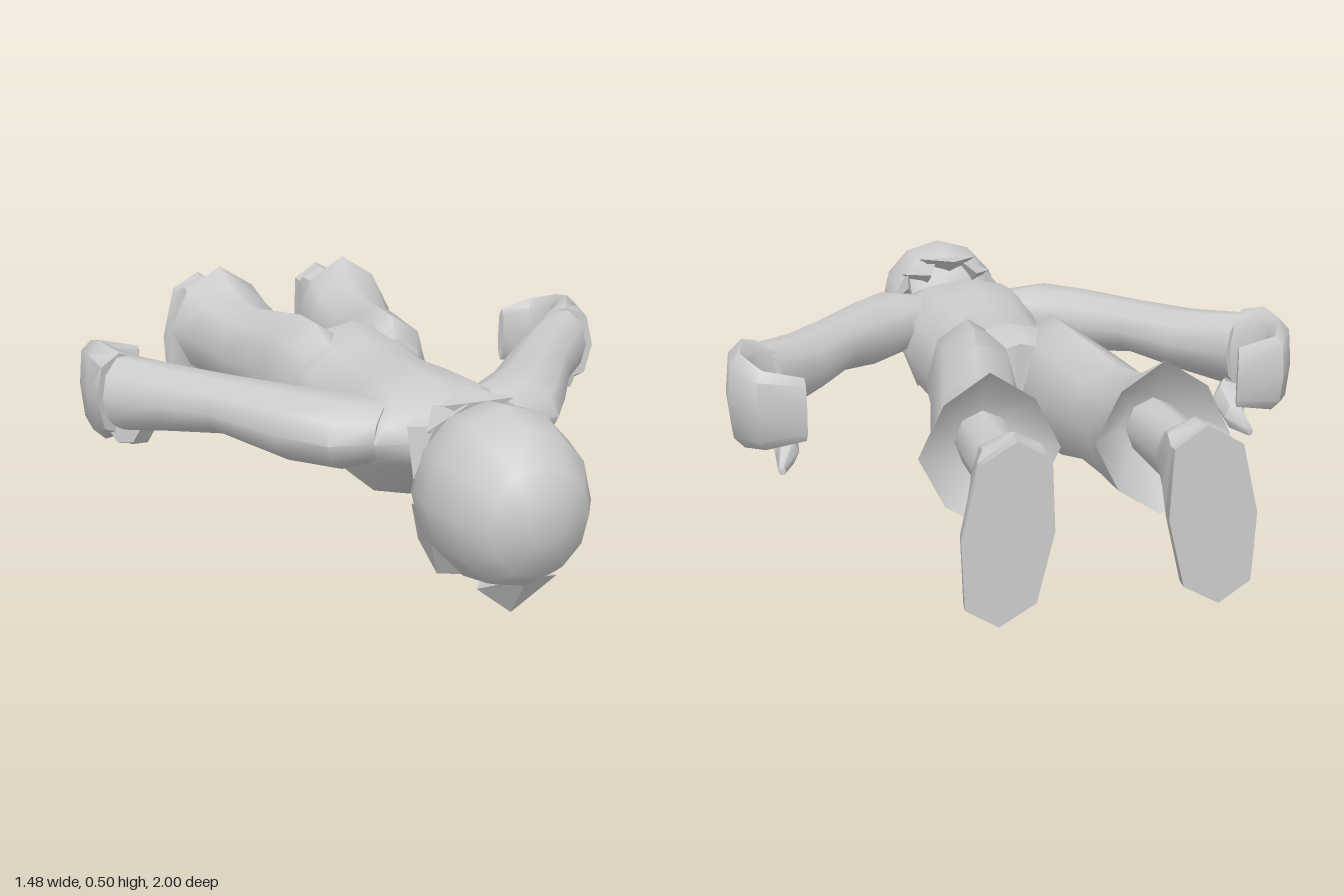
import * as THREE from 'three';
import { toCreasedNormals } from 'three/addons/utils/BufferGeometryUtils.js';
import { ConvexGeometry } from 'three/addons/geometries/ConvexGeometry.js';

const material = new THREE.MeshStandardMaterial({ color: 0xcccccc });
const flat = new THREE.MeshStandardMaterial({ color: 0xcccccc, flatShading: true });

// Skins a closed tube over rings [x, y, z, halfWidth, halfHeight, yaw in degrees, corner power, shear].
// At yaw 0 the rings run towards -z; side -1 mirrors the part.
function loft(name, rings, sides = 10, side = 1, crease = 1.0) {
  const pos = [], idx = [];
  const tri = (a, b, c) => (side > 0 ? idx.push(a, b, c) : idx.push(a, c, b));
  const curve = (v, p) => Math.sign(v) * Math.pow(Math.abs(v), p);
  for (const [x, y, z, rx, ry, yaw = 0, p = 1, shear = 0] of rings) {
    const t = THREE.MathUtils.degToRad(yaw);
    for (let j = 0; j < sides; j++) {
      const a = (j / sides) * Math.PI * 2;
      const u = curve(Math.cos(a), p) * rx, v = curve(Math.sin(a), p) * ry;
      pos.push(side * (x + u * Math.cos(t) + v * shear), y + v, z + u * Math.sin(t));
    }
  }
  for (let i = 0; i < rings.length - 1; i++) {
    for (let j = 0; j < sides; j++) {
      const k = (j + 1) % sides;
      const a = i * sides + j, b = i * sides + k, c = a + sides, d = b + sides;
      tri(a, c, b);
      tri(b, c, d);
    }
  }
  // End caps
  const n = rings.length, first = rings[0], last = rings[n - 1], base = n * sides;
  pos.push(side * first[0], first[1], first[2], side * last[0], last[1], last[2]);
  for (let j = 0; j < sides; j++) {
    const k = (j + 1) % sides, e = (n - 1) * sides;
    tri(base, j, k);
    tri(base + 1, e + k, e + j);
  }
  const geo = new THREE.BufferGeometry();
  geo.setAttribute('position', new THREE.Float32BufferAttribute(pos, 3));
  geo.setIndex(idx);
  const mesh = new THREE.Mesh(toCreasedNormals(geo, crease), material);
  mesh.name = name;
  return mesh;
}

// Pointed lock of hair spanned by a few corner points
function lock(name, points, side = 1) {
  const mesh = new THREE.Mesh(
    new ConvexGeometry(points.map(([x, y, z]) => new THREE.Vector3(side * x, y, z))), flat);
  mesh.name = name;
  return mesh;
}

export function createModel() {
  const model = new THREE.Group();
  model.name = 'lyingFigure';

  // Head, crown towards +z and face towards the ground
  model.add(loft('head', [
    [0, 0.28, 1.0, 0.05, 0.05], [0, 0.27, 0.965, 0.12, 0.13], [0, 0.27, 0.89, 0.168, 0.185],
    [0, 0.27, 0.79, 0.19, 0.21], [0, 0.265, 0.7, 0.18, 0.2], [0, 0.245, 0.63, 0.155, 0.18],
    [0, 0.23, 0.58, 0.09, 0.12],
  ], 12, 1, 1.2));
  model.add(loft('neck', [[0, 0.3, 0.62, 0.08, 0.07], [0, 0.32, 0.48, 0.09, 0.06]], 8));
  model.add(lock('foreheadLock', [[-0.1, 0.09, 0.87], [0.1, 0.09, 0.87], [0, 0.005, 0.845], [0, 0.07, 0.72], [0, 0.12, 0.92]]));
  model.add(lock('napeLock', [[-0.09, 0.45, 0.66], [0.09, 0.45, 0.66], [0, 0.46, 0.55], [0, 0.4, 0.65]]));

  // Shirt
  model.add(loft('torso', [
    [0, 0.325, 0.56, 0.08, 0.05], [0, 0.325, 0.52, 0.2, 0.075], [0, 0.305, 0.42, 0.22, 0.13],
    [0, 0.26, 0.27, 0.2, 0.175], [0, 0.255, 0.12, 0.188, 0.165], [0, 0.26, -0.03, 0.2, 0.16],
    [0, 0.275, -0.15, 0.212, 0.17], [0, 0.275, -0.24, 0.16, 0.14],
  ], 12, 1, 1.2));

  for (const side of [1, -1]) {
    const label = side > 0 ? 'left' : 'right';

    // Side locks of hair
    model.add(lock(label + 'CheekLock', [[0.17, 0.24, 0.74], [0.05, 0.07, 0.76], [0.1, 0.085, 0.55], [0.14, 0.2, 0.6], [0.1, 0.04, 0.66]], side));
    model.add(lock(label + 'EarLock', [[0.18, 0.3, 0.7], [0.12, 0.41, 0.68], [0.14, 0.38, 0.57], [0.1, 0.3, 0.66]], side));
    model.add(lock(label + 'BackLock', [[0.14, 0.4, 0.68], [0.03, 0.45, 0.67], [0.07, 0.42, 0.555], [0.07, 0.36, 0.66]], side));

    // Sleeve, running from the shoulder out to the wrist
    model.add(loft(label + 'Arm', [
      [0.13, 0.325, 0.43, 0.11, 0.07, 50], [0.22, 0.325, 0.4, 0.125, 0.088, 45],
      [0.32, 0.325, 0.29, 0.105, 0.09, 42], [0.44, 0.34, 0.13, 0.09, 0.073, 37],
      [0.54, 0.33, 0.0, 0.09, 0.085, 36], [0.66, 0.325, -0.13, 0.075, 0.105, 28],
    ], 10, side));

    // Cupped hand curling inward
    model.add(loft(label + 'Hand', [
      [0.66, 0.325, -0.11, 0.08, 0.11, 28, 0.8], [0.695, 0.32, -0.17, 0.045, 0.135, 10, 0.8],
      [0.705, 0.32, -0.25, 0.035, 0.12, -15, 0.8], [0.66, 0.315, -0.325, 0.03, 0.1, -50, 0.8],
      [0.56, 0.31, -0.325, 0.012, 0.08, -105, 0.8],
    ], 8, side));
    model.add(loft(label + 'Thumb', [
      [0.66, 0.23, -0.09, 0.04, 0.04, -20], [0.605, 0.2, -0.16, 0.04, 0.04, -10],
      [0.6, 0.17, -0.23, 0.03, 0.035], [0.62, 0.145, -0.29, 0.01, 0.012, 20],
    ], 6, side));

    // Trouser leg with a flared, hollow hem
    model.add(loft(label + 'Leg', [
      [0.1, 0.28, -0.06, 0.09, 0.13], [0.112, 0.283, -0.12, 0.112, 0.175],
      [0.118, 0.28, -0.23, 0.116, 0.178], [0.138, 0.285, -0.33, 0.115, 0.16],
      [0.17, 0.285, -0.5, 0.117, 0.135], [0.188, 0.3, -0.64, 0.138, 0.14],
      [0.202, 0.315, -0.745, 0.162, 0.185, 0, 1.3], [0.202, 0.32, -0.67, 0.08, 0.08],
    ], 8, side));
    model.add(loft(label + 'Ankle', [[0.202, 0.32, -0.64, 0.065, 0.07], [0.202, 0.32, -0.89, 0.065, 0.07]], 8, side));

    // Shoe with its sole towards -z and the toe pointing down
    model.add(loft(label + 'Shoe', [
      [0.205, 0.32, -0.865, 0.068, 0.072, 0, 0.9], [0.207, 0.315, -0.9, 0.075, 0.1, 0, 0.8],
      [0.212, 0.295, -0.94, 0.085, 0.135, 0, 0.8, -0.1], [0.225, 0.222, -0.965, 0.095, 0.202, 0, 0.75, -0.1],
      [0.225, 0.225, -1.0, 0.1, 0.205, 0, 0.75, -0.1],
    ], 8, side, 0.8));
  }
  return model;
}
